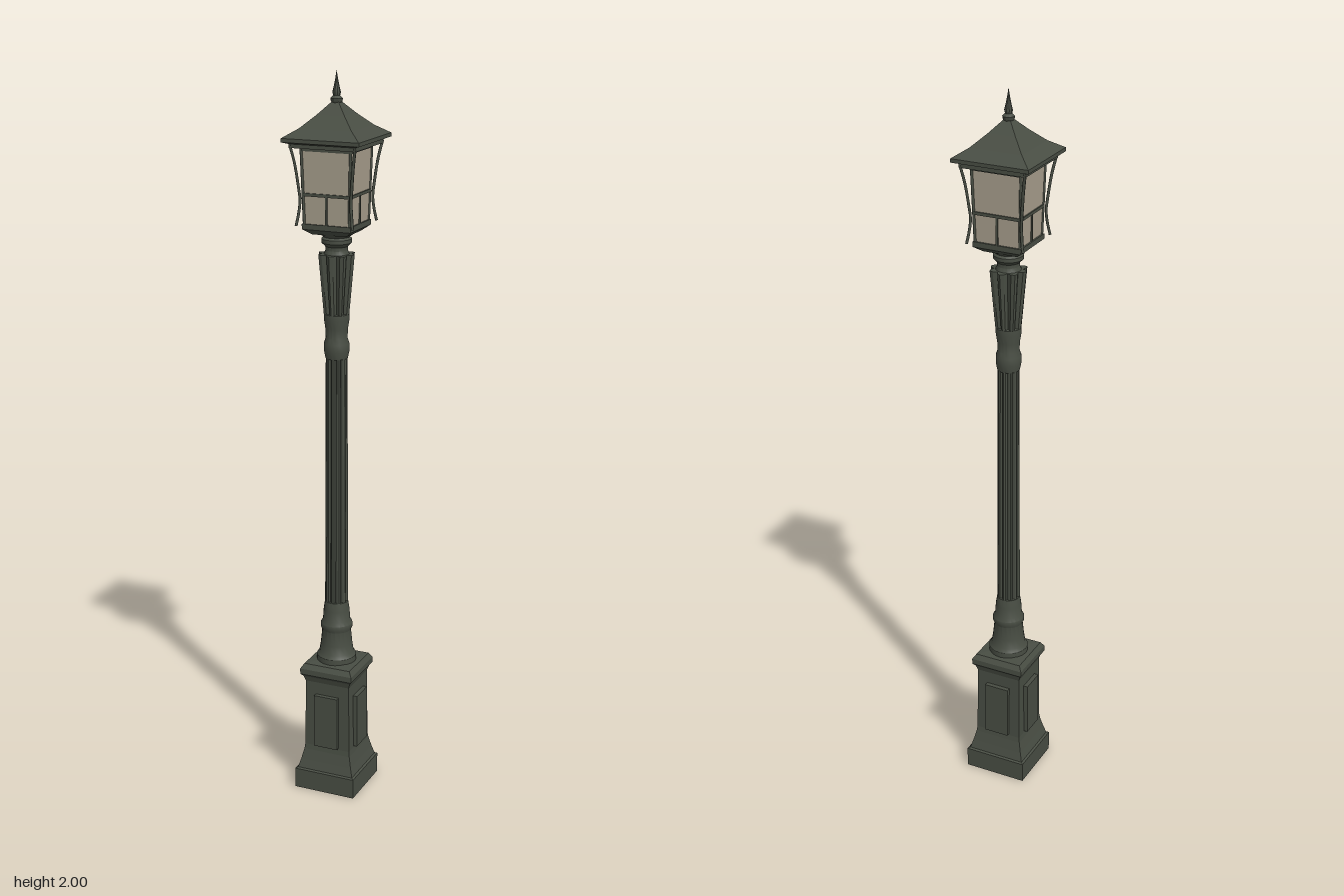
import * as THREE from 'three';
import { toCreasedNormals } from 'three/addons/utils/BufferGeometryUtils.js';

const iron = new THREE.MeshStandardMaterial({ color: 0x484d43 });
iron.name = 'dark green iron';
const glass = new THREE.MeshStandardMaterial({ color: 0xa89f8d });
glass.name = 'frosted glass';

const points = (profile, k = 1) => profile.map(([r, y]) => new THREE.Vector2(r * k, y));

// Square moulding: profile of [half width, height] swept round four sides
function squareLoft(profile) {
  const g = new THREE.LatheGeometry(points(profile, Math.SQRT2), 4, Math.PI / 4).toNonIndexed();
  g.computeVertexNormals();
  return g;
}

// Round moulding: profile of [radius, height]
function turned(profile, sides = 20) {
  return toCreasedNormals(new THREE.LatheGeometry(points(profile), sides), 0.6);
}

// Tapered column with grooves cut along its length
function fluted(rTop, rBottom, y0, y1, count, depth) {
  const g = new THREE.CylinderGeometry(rTop, rBottom, y1 - y0, count * 4);
  const p = g.attributes.position;
  for (let i = 0; i < p.count; i++) {
    const x = p.getX(i), z = p.getZ(i), r = Math.hypot(x, z);
    if (r < 1e-4) continue;
    const step = Math.round((Math.atan2(x, z) / (Math.PI * 2)) * count * 4 + count * 4) % 4;
    const k = step === 2 ? (r - depth) / r : step === 0 ? 1 : (r - depth * 0.3) / r;
    p.setX(i, x * k);
    p.setZ(i, z * k);
  }
  g.translate(0, (y0 + y1) / 2, 0);
  return toCreasedNormals(g, 0.3);
}

export function createModel() {
  const model = new THREE.Group();
  const add = (name, geometry, material = iron, parent = model) => {
    const mesh = new THREE.Mesh(geometry, material);
    mesh.name = name;
    parent.add(mesh);
    return mesh;
  };
  const box = (name, w, h, d, x, y, z, parent) =>
    add(name, new THREE.BoxGeometry(w, h, d), iron, parent).position.set(x, y, z);

  // Square pedestal
  add('pedestal', squareLoft([
    [0, 0], [0.089, 0], [0.089, 0.057], [0.083, 0.06], [0.076, 0.085], [0.069, 0.115], [0.067, 0.13],
    [0.065, 0.325], [0.07, 0.34], [0.077, 0.348], [0.077, 0.364], [0.068, 0.378], [0, 0.384],
  ]));

  // Column foot, shaft and collar
  add('columnFoot', turned([
    [0.055, 0.375], [0.055, 0.395], [0.048, 0.405], [0.044, 0.43], [0.04, 0.47], [0.044, 0.478],
    [0.044, 0.49], [0.038, 0.5], [0.036, 0.53], [0.032, 0.555], [0, 0.56],
  ]));
  add('shaft', fluted(0.029, 0.032, 0.54, 1.26, 10, 0.007));
  add('collar', turned([
    [0, 1.25], [0.03, 1.25], [0.034, 1.27], [0.034, 1.29], [0.029, 1.305], [0.03, 1.33],
    [0.034, 1.355], [0.034, 1.37], [0, 1.375],
  ]));

  // Ribbed capital and the bowl under the lantern
  add('capital', fluted(0.051, 0.036, 1.37, 1.53, 8, 0.014));
  add('bowl', turned([
    [0.036, 1.525], [0.029, 1.54], [0.03, 1.55], [0.04, 1.56], [0.04, 1.57], [0.034, 1.575],
    [0.045, 1.583], [0.056, 1.598], [0, 1.6],
  ]));

  // Lantern
  const lantern = new THREE.Group();
  lantern.name = 'lantern';
  model.add(lantern);
  add('tray', squareLoft([[0, 1.585], [0.048, 1.585], [0.068, 1.6], [0.068, 1.614], [0, 1.614]]), iron, lantern);
  add('glassPanes', squareLoft([[0.063, 1.612], [0.069, 1.818]]), glass, lantern);

  // Details repeated on the four sides and corners
  const strutCurve = new THREE.CatmullRomCurve3([
    [0.09, 1.818], [0.081, 1.77], [0.074, 1.71], [0.071, 1.675], [0.074, 1.64], [0.079, 1.61],
  ].map(([r, y]) => new THREE.Vector3(r, y, r)));
  const postCurve = new THREE.LineCurve3(
    new THREE.Vector3(0.063, 1.61, 0.063), new THREE.Vector3(0.069, 1.818, 0.069));
  for (let i = 0; i < 4; i++) {
    const side = new THREE.Group();
    side.name = 'side' + (i + 1);
    side.rotation.y = (i * Math.PI) / 2;
    model.add(side);
    box('pedestalPanel', 0.07, 0.155, 0.016, 0, 0.212, 0.07, side);
    box('glazingCrossbar', 0.132, 0.008, 0.006, 0, 1.69, 0.066, side);
    box('glazingUpright', 0.006, 0.08, 0.006, 0, 1.65, 0.0645, side);
    box('topRail', 0.136, 0.01, 0.006, 0, 1.806, 0.0685, side);
    add('cornerPost', new THREE.TubeGeometry(postCurve, 1, 0.004, 6), iron, side);
    add('cornerStrut', new THREE.TubeGeometry(strutCurve, 14, 0.004, 6), iron, side);
  }

  // Swept square roof with stepped eave
  add('roof', squareLoft([
    [0, 1.81], [0.092, 1.81], [0.092, 1.82], [0.107, 1.825], [0.107, 1.835],
    [0.072, 1.858], [0.038, 1.89], [0.01, 1.92], [0, 1.92],
  ]));

  // Finial
  add('finial', turned([
    [0.008, 1.912], [0.015, 1.922], [0.016, 1.929], [0.009, 1.936], [0.011, 1.944],
    [0.008, 1.956], [0.004, 1.975], [0, 2],
  ], 10));

  return model;
}
